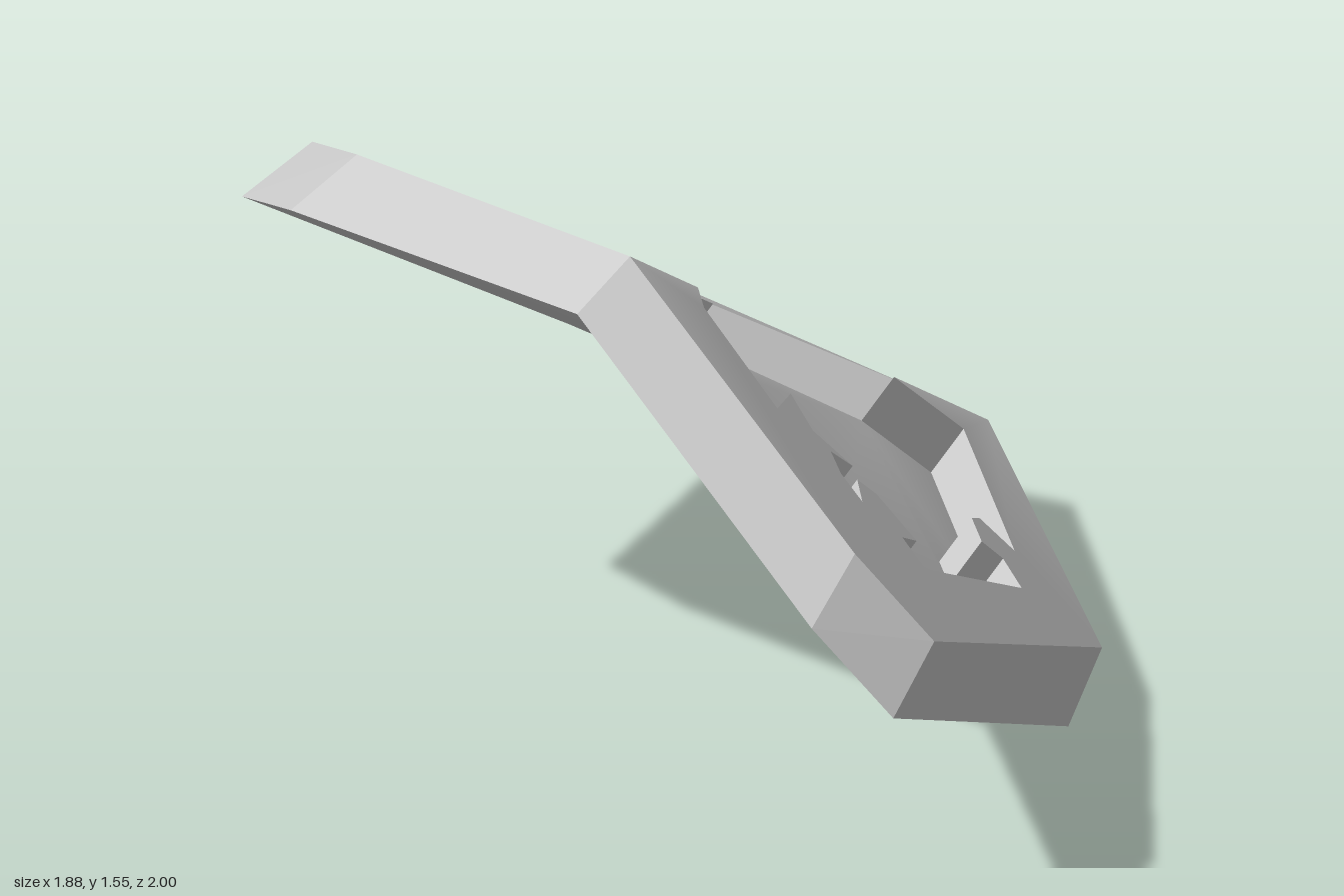
import * as THREE from 'three';

const V = (x, y, z) => new THREE.Vector3(x, y, z);
const material = new THREE.MeshStandardMaterial({ color: 0xcccccc });

// Outer rims, index 2 and 6 lie on the fold
const upper = [
  V(-0.83, 1.41, 0.43), V(-0.62, 1.51, 0.60), V(0.18, 1.55, 0.79), V(0.79, 1.00, 0.86),
  V(0.94, 0.78, 0.77), V(0.70, 0.17, -0.40), V(0.07, 0.30, -1.0), V(-0.67, 0.66, -0.66),
];
const lower = [
  V(-0.94, 1.30, 0.55), V(-0.72, 1.40, 0.72), V(0.12, 1.45, 0.92), V(0.76, 0.87, 1.0),
  V(0.91, 0.64, 0.90), V(0.66, 0, -0.32), V(0, 0.14, -0.95), V(-0.76, 0.51, -0.59),
];

// Ragged recess outline as (x, z); both halves start and end on the fold
const foldBack = [0.099, -0.53], foldFront = [0.159, 0.45];
const rightEdge = [
  [0.15, -0.75], [0.49, -0.38], [0.44, -0.31], [0.455, -0.25], [0.52, -0.18], [0.54, -0.24],
  [0.61, -0.20], [0.73, 0.44], [0.66, 0.42], [0.645, 0.33], [0.555, 0.35], [0.54, 0.41],
  [0.61, 0.51], [0.55, 0.50], [0.49, 0.44], [0.50, 0.36], [0.45, 0.45],
  [0.36, 0.39], [0.44, 0.59], [0.22, 0.53],
];
const leftEdge = [
  [0.10, 0.51], [-0.20, 0.48], [-0.12, 0.30], [-0.23, 0.34], [-0.37, 0.34], [-0.43, 0.31],
  [-0.37, 0.25], [-0.38, 0.175], [-0.52, 0.11], [-0.56, 0.16], [-0.54, 0.21], [-0.605, 0.20],
  [-0.53, -0.41], [-0.45, -0.44], [-0.41, -0.375], [-0.34, -0.37], [-0.32, -0.46],
  [-0.39, -0.55], [0.01, -0.78],
];
const sink = V(-0.045, -0.09, 0.066);

// The upper surface is the lower of two planes meeting at the fold
const mid = (a, b) => a.clone().lerp(b, 0.5);
const leftPlane = new THREE.Plane().setFromCoplanarPoints(upper[2], upper[6], mid(upper[0], upper[7]));
const rightPlane = new THREE.Plane().setFromCoplanarPoints(upper[6], upper[2], mid(upper[4], upper[5]));
const height = (p, x, z) => -(p.constant + p.normal.x * x + p.normal.z * z) / p.normal.y;
const onTop = ([x, z]) => V(x, Math.min(height(leftPlane, x, z), height(rightPlane, x, z)), z);

function geometryOf(points, normals) {
  const g = new THREE.BufferGeometry().setFromPoints(points);
  if (normals) g.setAttribute('normal', new THREE.Float32BufferAttribute(normals.flatMap((n) => n.toArray()), 3));
  else g.computeVertexNormals();
  return g;
}

// Folded sheet from two halves; normals are blended along the fold
function sheet(left, right, fold, facing) {
  const points = [], normals = [];
  const unit = (p) => p.normal.clone().multiplyScalar(Math.sign(p.normal.y) * facing);
  const sides = [unit(leftPlane), unit(rightPlane)];
  const blend = sides[0].clone().add(sides[1]).normalize();
  [left, right].forEach((outline, s) => {
    const flat = outline.map((p) => new THREE.Vector2(p.x, p.z));
    for (const [i, j, k] of THREE.ShapeUtils.triangulateShape(flat, [])) {
      const [a, b, c] = [outline[i], outline[j], outline[k]];
      const n = b.clone().sub(a).cross(c.clone().sub(a));
      for (const p of n.y * facing > 0 ? [a, b, c] : [a, c, b]) {
        points.push(p);
        normals.push(fold.includes(p) ? blend : sides[s]);
      }
    }
  });
  return geometryOf(points, normals);
}

// Flat-sided band between two closed loops
function band(top, bottom) {
  const points = [];
  top.forEach((a, i) => {
    const j = (i + 1) % top.length;
    points.push(a, bottom[i], top[j], top[j], bottom[i], bottom[j]);
  });
  return geometryOf(points);
}

export function createModel() {
  const group = new THREE.Group();
  const add = (name, geometry) => {
    const mesh = new THREE.Mesh(geometry, material);
    mesh.name = name;
    group.add(mesh);
  };

  const back = onTop(foldBack), front = onTop(foldFront);
  const right = rightEdge.map(onTop), left = leftEdge.map(onTop);
  const leftRim = [upper[6], upper[7], upper[0], upper[1], upper[2]];
  const rightRim = upper.slice(2, 7);

  // Upper rim around the recess
  add('upperSurface', sheet(
    [...leftRim, front, ...left, back],
    [...rightRim, back, ...right, front],
    [upper[2], upper[6], front, back], 1));

  // Bevelled outer edge
  add('outerEdge', band(upper, lower));

  // Recess walls and floor
  const opening = [back, ...right, front, ...left];
  const base = opening.map((p) => p.clone().add(sink));
  const split = right.length + 1;
  add('recessWalls', band(opening, base));
  add('recessFloor', sheet(
    [...base.slice(split), base[0]], base.slice(0, split + 1), [base[0], base[split]], 1));

  // Underside
  add('underside', sheet(
    [lower[6], lower[7], lower[0], lower[1], lower[2]], lower.slice(2, 7), [lower[2], lower[6]], -1));

  return group;
}
